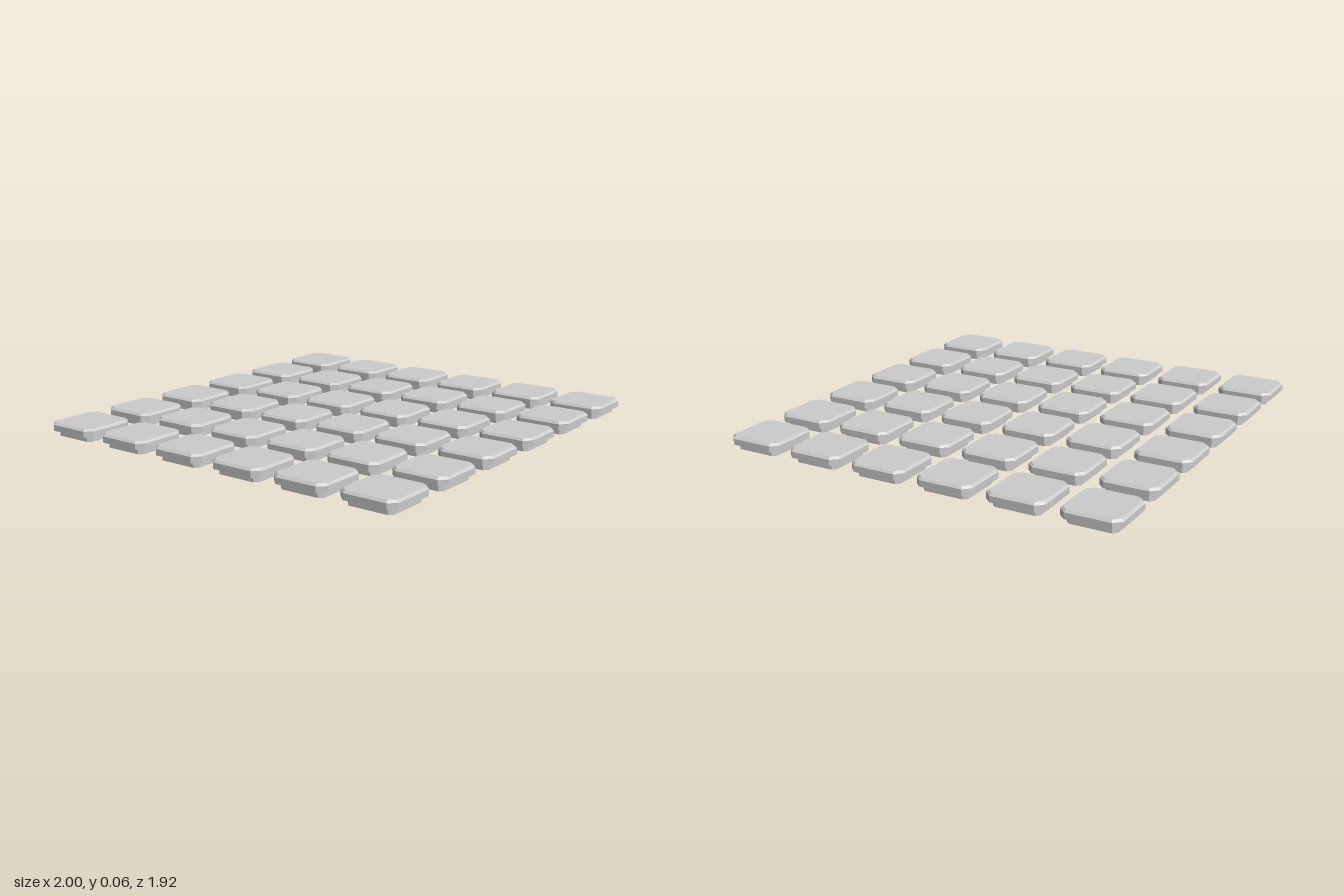
import * as THREE from 'three';

const HALF = 0.134; // half width of a tile
const CUT = 0.033;  // corner cut at full width

// Square with cut corners, inset evenly from the full tile outline
function outline(y, half) {
  if (half === 0) return Array.from({ length: 8 }, () => [0, y, 0]);
  const c = half - (CUT - (HALF - half) * (2 - Math.SQRT2));
  return [[half, -c], [half, c], [c, half], [-c, half], [-half, c], [-half, -c], [-c, -half], [c, -half]]
    .map(([x, z]) => [x, y, z]);
}

// Skin the outlines from the bottom centre to the top centre
function tileGeometry() {
  const profile = [
    [0, 0], [0, 0.108],             // underside
    [0.027, 0.108], [0.027, HALF],  // foot wall and ledge
    [0.055, HALF], [0.065, 0.123],  // slab wall and top bevel
    [0.065, 0],                     // top
  ];
  const rings = profile.map(([y, half]) => outline(y, half));
  const points = [];
  for (let r = 0; r < rings.length - 1; r++) {
    for (let i = 0; i < 8; i++) {
      const j = (i + 1) % 8;
      const a = rings[r][i], b = rings[r][j], c = rings[r + 1][j], d = rings[r + 1][i];
      if (profile[r][1] > 0) points.push(...a, ...c, ...b);
      if (profile[r + 1][1] > 0) points.push(...a, ...d, ...c);
    }
  }
  const geometry = new THREE.BufferGeometry();
  geometry.setAttribute('position', new THREE.Float32BufferAttribute(points, 3));
  geometry.computeVertexNormals();
  return geometry;
}

export function createModel() {
  const model = new THREE.Group();
  model.name = 'tileGrid';
  const geometry = tileGeometry();
  const material = new THREE.MeshStandardMaterial({ color: 0xcccccc, flatShading: true });

  // Six by six separate tiles
  for (let row = 0; row < 6; row++) {
    for (let col = 0; col < 6; col++) {
      const tile = new THREE.Mesh(geometry, material);
      tile.name = `tile_row${row + 1}_column${col + 1}`;
      tile.position.set((col - 2.5) * 0.3464, 0, (row - 2.5) * 0.33);
      model.add(tile);
    }
  }
  return model;
}
